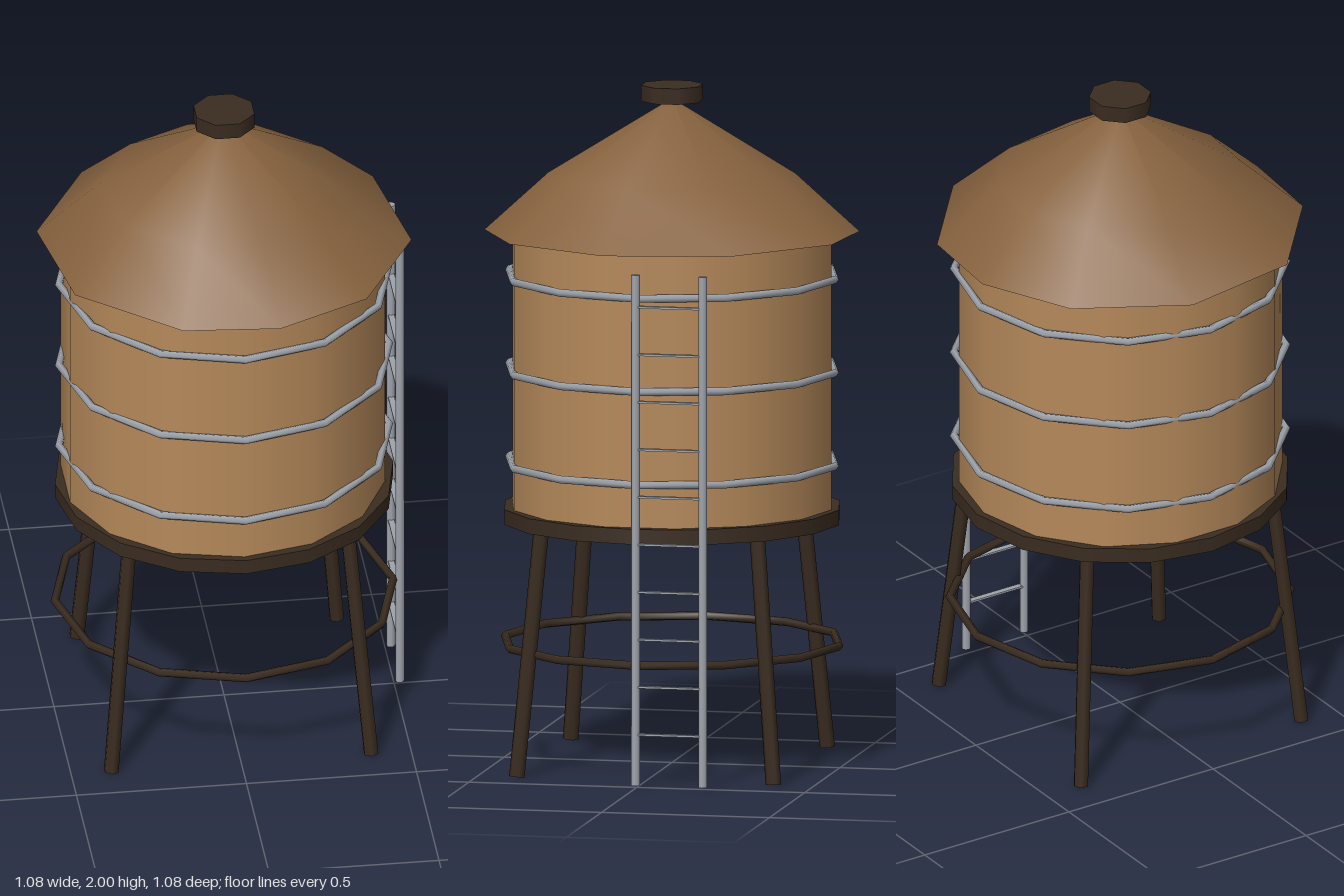
import * as THREE from 'three';
import { toCreasedNormals } from 'three/addons/utils/BufferGeometryUtils.js';

const material = (color) => new THREE.MeshStandardMaterial({ color });
const wood = material(0xb5895a);
const shingle = material(0x86623e);
const darkWood = material(0x3a2c20);
const metal = material(0x9fa4ac);

export function createModel() {
  const model = new THREE.Group();

  function add(name, geometry, mat, x = 0, y = 0, z = 0, parent = model) {
    const mesh = new THREE.Mesh(geometry, mat);
    mesh.name = name;
    mesh.position.set(x, y, z);
    parent.add(mesh);
    return mesh;
  }

  // Horizontal ring around the tank axis
  function ring(name, radius, tube, y, mat) {
    const geometry = new THREE.TorusGeometry(radius, tube, 5, 12).rotateX(Math.PI / 2);
    add(name, geometry, mat, 0, y, 0);
  }

  // Tank and the platform it stands on
  const tank = new THREE.CylinderGeometry(0.475, 0.475, 0.82, 14);
  add('tank', tank, wood, -0.003, 1.165, 0);
  const deck = new THREE.CylinderGeometry(0.497, 0.497, 0.045, 16);
  add('platform', deck, darkWood, 0, 0.738, 0);

  // Metal hoops
  for (const y of [0.89, 1.165, 1.44]) ring('hoop', 0.485, 0.012, y, metal);

  // Ten-sided roof with uneven sides and a break in its slope
  const profile = [[0, 1.57], [0.547, 1.57], [0.36, 1.74], [0, 1.96]]
    .map(([r, y]) => new THREE.Vector2(r, y));
  const roof = new THREE.LatheGeometry(profile, 10);
  const corners = [80, 48, 10, -30, -70]; // half turn, repeated on the far side
  const position = roof.attributes.position;
  for (let i = 0; i <= 10; i++) {
    const angle = THREE.MathUtils.degToRad(corners[i % 5] - 180 * Math.floor(i / 5));
    profile.forEach((p, j) => {
      position.setXYZ(i * profile.length + j, p.x * Math.cos(angle), p.y, p.x * Math.sin(angle));
    });
  }
  add('roof', toCreasedNormals(roof, 0.9), shingle);
  add('roofCap', new THREE.CylinderGeometry(0.092, 0.092, 0.047, 8, 1, false, Math.PI / 8), darkWood, 0, 1.9765, 0);

  // Splayed legs
  const up = new THREE.Vector3(0, 1, 0);
  for (const sx of [-1, 1]) {
    for (const sz of [-1, 1]) {
      const foot = new THREE.Vector3(sx * 0.382, 0.004, sz * 0.382);
      const top = new THREE.Vector3(sx * 0.322, 0.72, sz * 0.322);
      const axis = top.clone().sub(foot);
      const leg = add('leg', new THREE.CylinderGeometry(0.023, 0.023, axis.length(), 6), darkWood);
      leg.position.copy(foot).add(top).multiplyScalar(0.5);
      leg.quaternion.setFromUnitVectors(up, axis.normalize());
    }
  }
  ring('legBrace', 0.497, 0.013, 0.36, darkWood);

  // Ladder on the left side
  const ladder = new THREE.Group();
  ladder.name = 'ladder';
  model.add(ladder);
  for (const z of [0, -0.2]) {
    add('ladderRail', new THREE.CylinderGeometry(0.013, 0.013, 1.505, 8), metal, 0.517, 0.762, z, ladder);
  }
  for (let i = 0; i < 10; i++) {
    add('ladderRung', new THREE.BoxGeometry(0.018, 0.006, 0.19), metal, 0.517, 0.16 + i * 0.14, -0.1, ladder);
  }

  return model;
}
